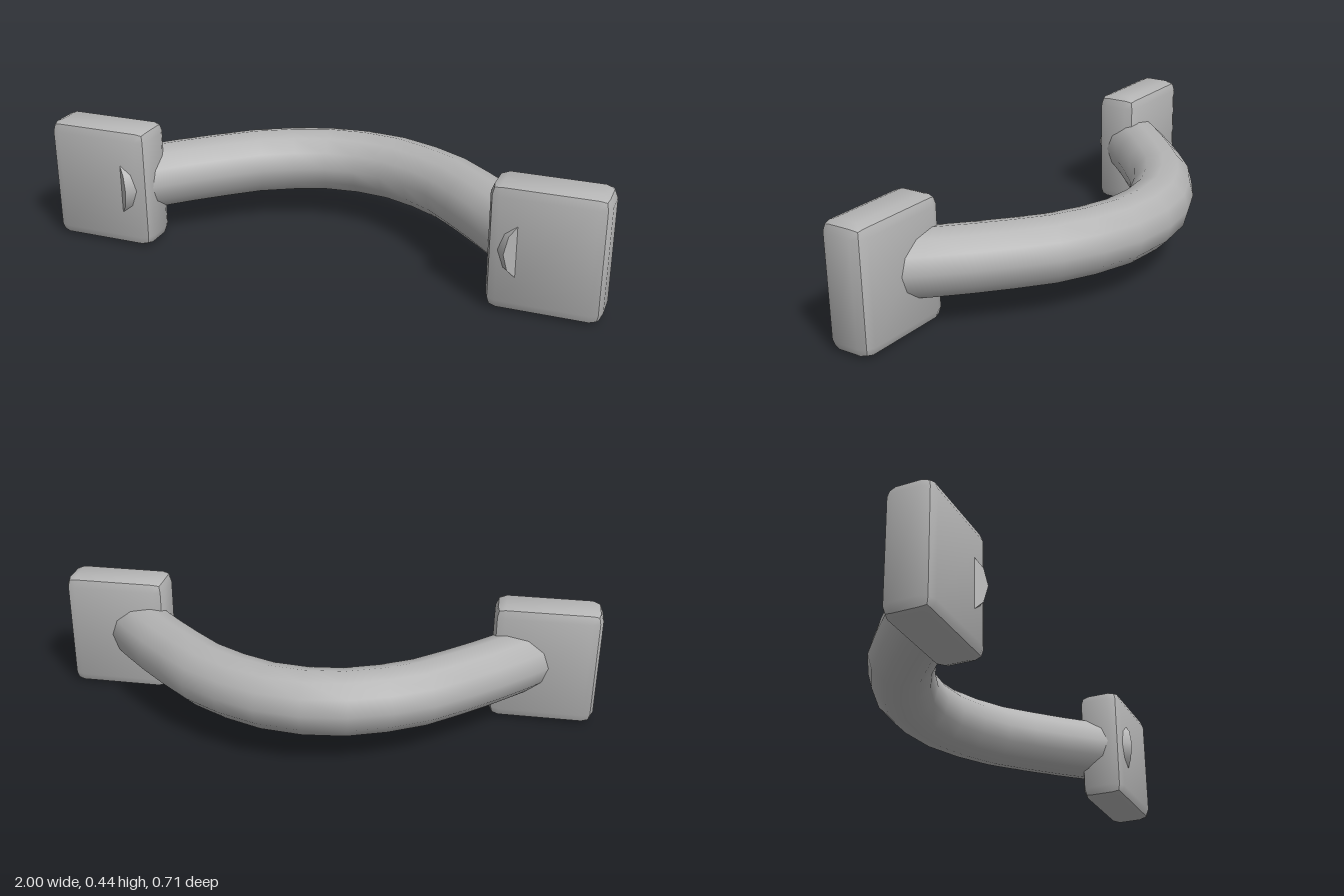
import * as THREE from 'three';
import { toCreasedNormals } from 'three/addons/utils/BufferGeometryUtils.js';

const MID_Y = 0.2225;

// Box whose edges are each rounded with two facets
function roundedBlock(width, height, depth, r) {
  const geo = new THREE.BoxGeometry(1, 1, 1, 3, 3, 3);
  const pos = geo.attributes.position;
  const half = [width / 2, height / 2, depth / 2];
  for (let i = 0; i < pos.count; i++) {
    const p = [pos.getX(i), pos.getY(i), pos.getZ(i)];
    const outer = p.map((v) => (Math.abs(v) > 0.4 ? 1 : 0));
    const len = Math.hypot(...outer);
    const q = p.map((v, k) => Math.sign(v) * (half[k] - r + (r * outer[k]) / len));
    pos.setXYZ(i, ...q);
  }
  return toCreasedNormals(geo, 0.7);
}

export function createModel() {
  const model = new THREE.Group();
  model.name = 'pullHandle';
  const metal = new THREE.MeshStandardMaterial({ color: 0xb4b4b4 });
  metal.name = 'grey metal';

  const add = (name, geometry) => {
    const mesh = new THREE.Mesh(geometry, metal);
    mesh.name = name;
    model.add(mesh);
    return mesh;
  };

  // Bowed grip, mirrored about its middle point
  const halfPath = [[0.77, 0.276], [0.65, 0.14], [0.517, 0.014], [0.387, -0.1], [0.25, -0.177], [0.126, -0.222]];
  const path = [
    ...halfPath.map(([x, z]) => [-x, z]),
    [0, -0.235],
    ...halfPath.slice().reverse(),
  ].map(([x, z]) => new THREE.Vector3(x, MID_Y, z));
  const curve = new THREE.CatmullRomCurve3(path);
  add('grip', new THREE.TubeGeometry(curve, 14, 0.1175, 12));

  for (const side of [-1, 1]) {
    const label = side > 0 ? 'left' : 'right';

    // Mounting block
    const block = add(label + 'MountingBlock', roundedBlock(0.385, 0.445, 0.166, 0.04));
    block.position.set(side * 0.8075, MID_Y, 0.24);

    // Flat end of the grip, just breaking through the block
    const t = side > 0 ? 1 : 0;
    const cap = add(label + 'GripEnd', new THREE.CircleGeometry(0.1175, 12));
    cap.position.copy(curve.getPointAt(t));
    cap.lookAt(cap.position.clone().addScaledVector(curve.getTangentAt(t), side));
  }
  return model;
}
